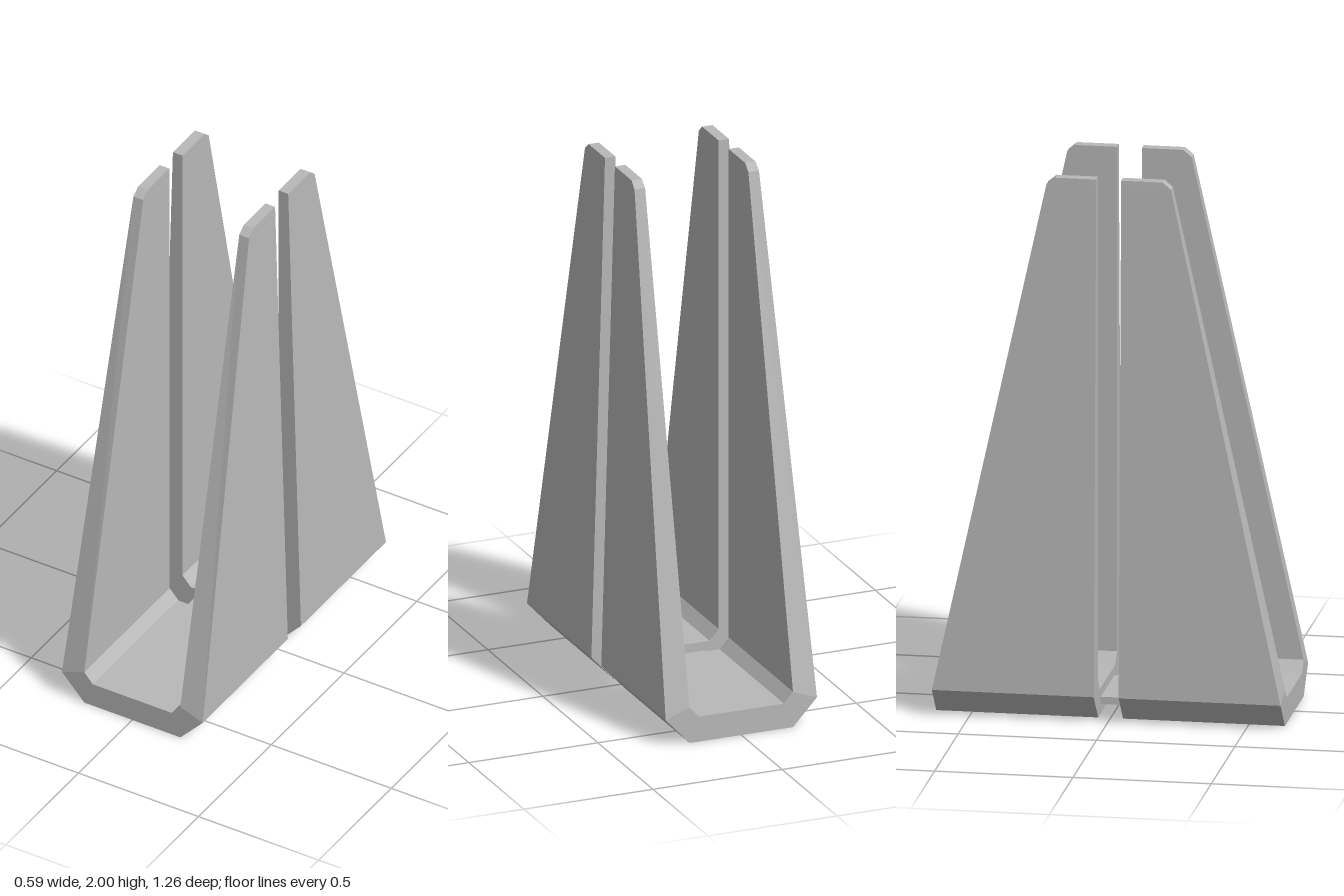
import * as THREE from 'three';

const GAP = 0.045; // half the slot between the two U-shaped halves

// Cross-sections of one arm, top to base: inner x, y, outer x, y, far z
const ARM = [
  [0.2, 2, 0.24, 2, 0.195],
  [0.2, 1.975, 0.241, 1.975, 0.225],
  [0.2, 0.135, 0.293, 0.1, 0.63],
  [0.165, 0.095, 0.2, 0, 0.63],
];

// Sweep the sections down one arm, across the base and up the mirrored arm
function uShapeGeometry() {
  const mirrored = ARM.map(([ix, iy, ox, oy, z]) => [-ix, iy, -ox, oy, z]).reverse();
  const rings = [...ARM, ...mirrored].map(([ix, iy, ox, oy, z]) => [
    [ix, iy, GAP], [ix, iy, z], [ox, oy, z], [ox, oy, GAP],
  ]);
  const positions = [];
  const quad = (a, b, c, d) => positions.push(...a, ...b, ...c, ...a, ...c, ...d);

  for (let i = 0; i < rings.length - 1; i++) {
    const p = rings[i], q = rings[i + 1];
    for (let k = 0; k < 4; k++) {
      const n = (k + 1) % 4;
      quad(p[k], q[k], q[n], p[n]);
    }
  }
  // Flat arm tips
  quad(...rings[0]);
  quad(...[...rings[rings.length - 1]].reverse());

  const geometry = new THREE.BufferGeometry();
  geometry.setAttribute('position', new THREE.Float32BufferAttribute(positions, 3));
  geometry.computeVertexNormals();
  return geometry;
}

export function createModel() {
  const model = new THREE.Group();
  model.name = 'splitClip';
  const grey = new THREE.MeshStandardMaterial({ color: 0xb8b8b8 });
  grey.name = 'grey';

  // Two identical halves, back to back
  const geometry = uShapeGeometry();
  const frontHalf = new THREE.Mesh(geometry, grey);
  frontHalf.name = 'frontHalf';
  const backHalf = new THREE.Mesh(geometry, grey);
  backHalf.name = 'backHalf';
  backHalf.rotation.y = Math.PI;

  // Thin bridge joining the halves at the base
  const bridge = new THREE.Mesh(new THREE.BoxGeometry(0.29, 0.027, GAP * 2), grey);
  bridge.name = 'bridge';
  bridge.position.y = 0.048;

  model.add(frontHalf, backHalf, bridge);
  return model;
}
